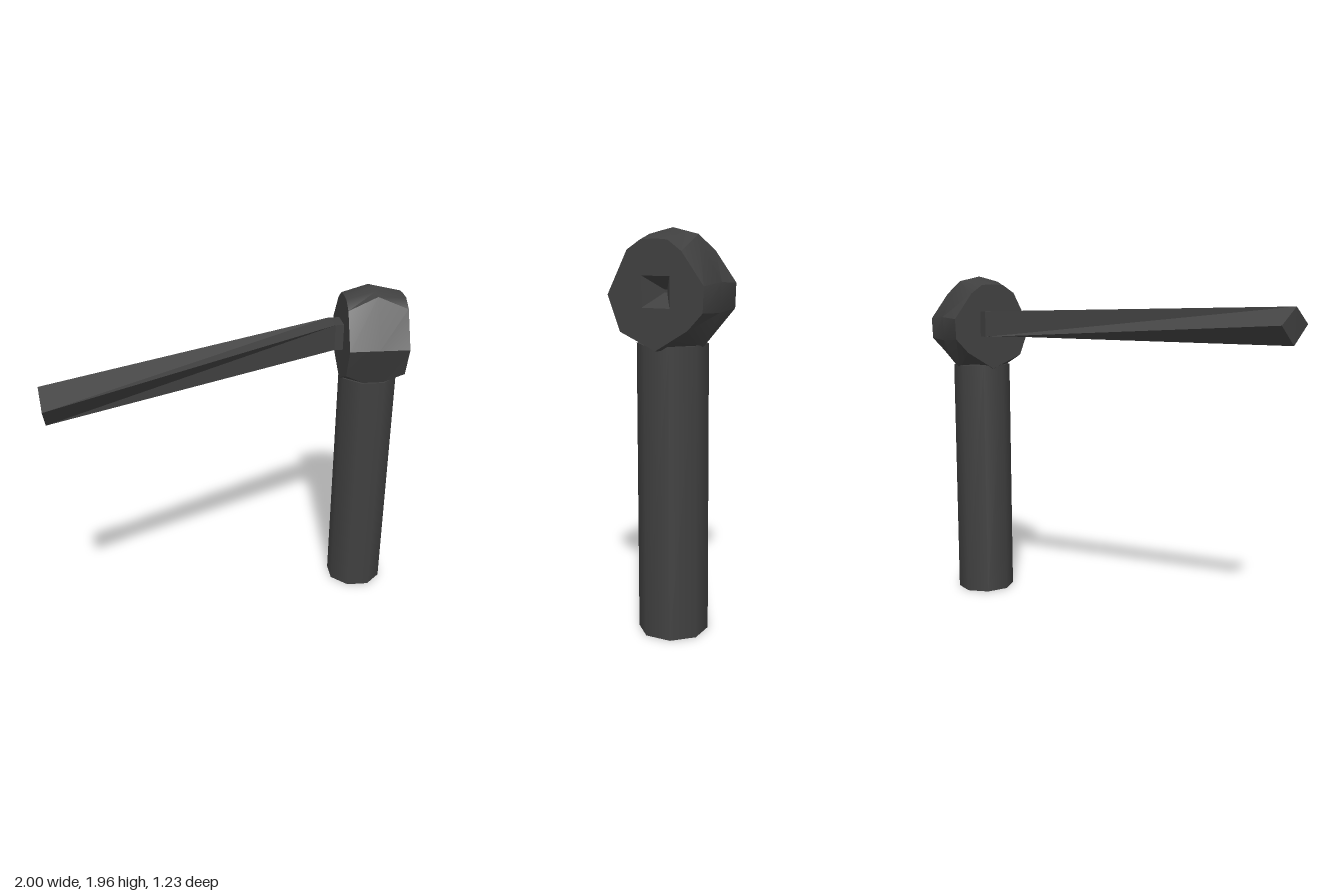
import * as THREE from 'three';
import { toCreasedNormals } from 'three/addons/utils/BufferGeometryUtils.js';

const material = new THREE.MeshStandardMaterial({ color: 0x404040 });

// Joins a row of equal-length rings of [x, y, z] points, each listed
// counter-clockwise when seen from +x, running from +x towards -x.
function loft(rings, { capStart = true, capEnd = true } = {}, crease = 0) {
  const pos = [];
  const tri = (a, b, c) => pos.push(...a, ...b, ...c);
  const n = rings[0].length;
  for (let r = 0; r < rings.length - 1; r++) {
    for (let i = 0; i < n; i++) {
      const j = (i + 1) % n;
      const [a, b] = [rings[r], rings[r + 1]];
      tri(a[i], b[i], b[j]);
      tri(a[i], b[j], a[j]);
    }
  }
  const last = rings[rings.length - 1];
  for (let i = 1; i < n - 1; i++) {
    if (capStart) tri(rings[0][0], rings[0][i], rings[0][i + 1]);
    if (capEnd) tri(last[0], last[i + 1], last[i]);
  }
  const g = new THREE.BufferGeometry();
  g.setAttribute('position', new THREE.Float32BufferAttribute(pos, 3));
  g.computeVertexNormals();
  return crease ? toCreasedNormals(g, crease) : g;
}

function part(name, geometry) {
  const mesh = new THREE.Mesh(geometry, material);
  mesh.name = name;
  return mesh;
}

const ringAt = (x, zy) => zy.map(([z, y]) => [x, y, z]);

export function createModel() {
  const group = new THREE.Group();
  group.name = 'crankHandle';

  // Grip: eight-sided post with softened sides
  const grip = new THREE.CylinderGeometry(0.171, 0.171, 1.42, 8, 1, false, Math.PI / 8);
  grip.translate(0.822, 0.71, -0.36);
  group.add(part('grip', grip));

  // Head: faceted block, fuller in the middle than at its ends
  const endRing = [
    [-0.115, 1.65], [-0.18, 1.48], [-0.365, 1.4], [-0.53, 1.5], [-0.605, 1.58], [-0.61, 1.7],
    [-0.5, 1.85], [-0.43, 1.9], [-0.365, 1.905], [-0.29, 1.9], [-0.22, 1.855],
  ];
  const midRing = [
    [-0.115, 1.65], [-0.23, 1.39], [-0.365, 1.385], [-0.51, 1.395], [-0.605, 1.57], [-0.615, 1.71],
    [-0.495, 1.925], [-0.43, 1.94], [-0.365, 1.955], [-0.3, 1.94], [-0.24, 1.925],
  ];
  const head = loft(
    [ringAt(1, endRing), ringAt(0.825, midRing), ringAt(0.655, endRing)],
    { capStart: false }, 0.6);
  group.add(part('head', head));

  // Outer face of the head with a square opening
  const square = [[-0.295, 1.595], [-0.44, 1.595], [-0.44, 1.74], [-0.295, 1.74]];
  const flat = (list) => list.map(([z, y]) => new THREE.Vector2(-z, y));
  const faceShape = new THREE.Shape(flat(endRing));
  faceShape.holes.push(new THREE.Path(flat(square)));
  const face = new THREE.ShapeGeometry(faceShape);
  face.rotateY(Math.PI / 2);
  face.translate(1, 0, 0);
  group.add(part('headFace', face));

  // Tapered socket sunk into the face, wound to show its inside
  const socketTip = square.map(([z, y]) => [-0.367 + (z + 0.367) * 0.1, 1.667 + (y - 1.667) * 0.1]);
  const socket = loft([ringAt(0.9, socketTip), ringAt(1, square)], { capEnd: false });
  group.add(part('socket', socket));

  // Arm: square bar that bends forward and twists an eighth turn
  const arm = loft([
    [[0.7, 1.595, -0.305], [0.7, 1.595, -0.445], [0.7, 1.745, -0.445], [0.7, 1.745, -0.305]],
    [[0.605, 1.595, -0.305], [0.59, 1.595, -0.445], [0.59, 1.745, -0.445], [0.605, 1.745, -0.305]],
    [[-0.98, 1.575, 0.52], [-1, 1.68, 0.41], [-1, 1.775, 0.51], [-0.98, 1.685, 0.615]],
  ]);
  group.add(part('arm', arm));

  return group;
}
